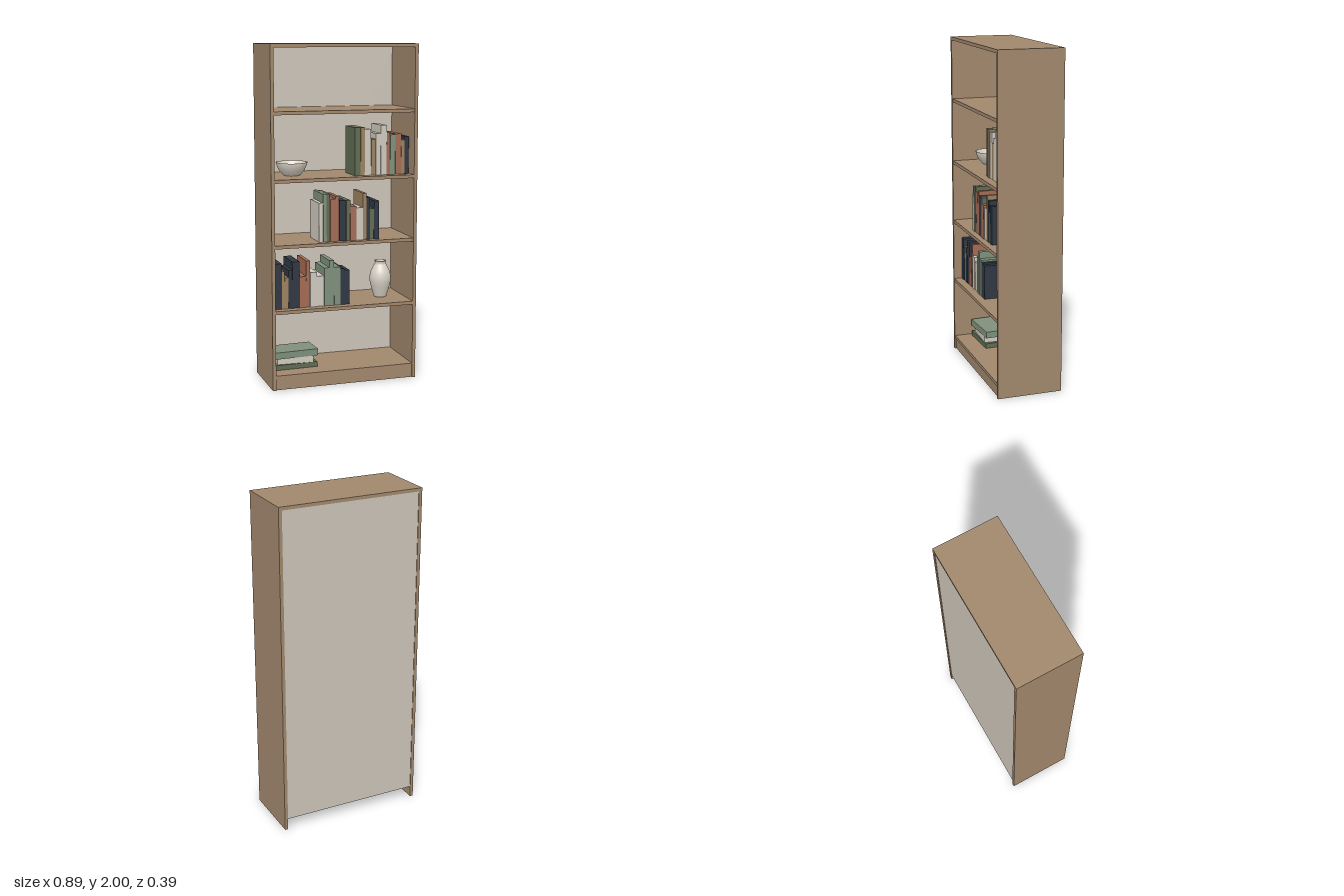
import * as THREE from 'three';

const material = (name, color, side = THREE.FrontSide) => {
  const m = new THREE.MeshStandardMaterial({ color, side });
  m.name = name;
  return m;
};

export function createModel() {
  const wood = material('wood', 0xa1876c);
  const backing = material('backing', 0xccc4b9);
  const ceramic = material('ceramic', 0xd8d2c6, THREE.DoubleSide);
  const bookColors = {
    n: material('navy', 0x303743),
    g: material('dark green', 0x5f6b52),
    s: material('sage', 0x7f907b),
    r: material('rust', 0xa36b54),
    t: material('tan', 0x9c8260),
    c: material('cream', 0xd0cabf),
  };

  const root = new THREE.Group();
  root.name = 'bookcase';

  // Box given by its min and max corners
  const box = (name, mat, [x0, y0, z0], [x1, y1, z1], parent = root) => {
    const mesh = new THREE.Mesh(new THREE.BoxGeometry(x1 - x0, y1 - y0, z1 - z0), mat);
    mesh.position.set((x0 + x1) / 2, (y0 + y1) / 2, (z0 + z1) / 2);
    mesh.name = name;
    parent.add(mesh);
    return mesh;
  };

  // Carcass
  const W = 0.444, D = 0.195, T = 0.02, inner = W - T;
  box('leftSide', wood, [inner, 0, -D], [W, 2, D]);
  box('rightSide', wood, [-W, 0, -D], [-inner, 2, D]);
  box('topPanel', wood, [-inner, 2 - T, -D], [inner, 2, D]);
  box('backPanel', backing, [-inner, 0.068, -D + 0.004], [inner, 2 - T, -D + 0.012]);
  box('kickBoard', wood, [-inner, 0, D - 0.03], [inner, 0.067, D - 0.01]);

  // Shelves, by the height of their top face
  const shelves = [0.087, 0.472, 0.857, 1.236, 1.623];
  shelves.forEach((y, i) =>
    box(`shelf${i + 1}`, wood, [-inner, y - T, -D + 0.012], [inner, y, D - 0.004]));

  // Small seeded generator for the book depths
  let seed = 7;
  const random = () => (seed = (seed * 16807) % 2147483647) / 2147483647;

  // Rows of upright books: colour, width and height of each, from right to left end
  const rows = [
    { shelf: 1, x: -0.414, front: 0.142, books: [
      ['n', 0.042, 0.27], ['t', 0.019, 0.222], ['t', 0.021, 0.185], ['n', 0.023, 0.228],
      ['n', 0.046, 0.276], ['r', 0.039, 0.185], ['r', 0.024, 0.276], ['c', 0.043, 0.206],
      ['c', 0.043, 0.18], ['s', 0.032, 0.228], ['s', 0.029, 0.27], ['s', 0.039, 0.228],
      ['n', 0.025, 0.217], ['n', 0.031, 0.207]] },
    { shelf: 2, x: -0.149, front: 0.155, books: [
      ['c', 0.024, 0.23], ['s', 0.022, 0.282], ['g', 0.022, 0.282], ['r', 0.032, 0.25],
      ['r', 0.024, 0.266], ['n', 0.042, 0.24], ['g', 0.025, 0.24], ['r', 0.037, 0.203],
      ['c', 0.042, 0.192], ['t', 0.021, 0.277], ['n', 0.024, 0.25], ['g', 0.024, 0.182],
      ['n', 0.031, 0.228]] },
    { shelf: 3, x: 0.074, front: 0.14, books: [
      ['g', 0.035, 0.281], ['t', 0.026, 0.281], ['c', 0.041, 0.27], ['t', 0.028, 0.212],
      ['c', 0.031, 0.244], ['c', 0.037, 0.292], ['r', 0.022, 0.25], ['s', 0.032, 0.234],
      ['r', 0.037, 0.239], ['t', 0.021, 0.202], ['n', 0.027, 0.222]] },
  ];
  for (const { shelf, x, front, books } of rows) {
    const row = new THREE.Group();
    row.name = `bookRow${shelf + 1}`;
    root.add(row);
    let left = x;
    books.forEach(([color, width, height], i) => {
      const last = i === books.length - 1;
      const depth = last ? (shelf === 2 ? 0.21 : 0.142) : 0.15 + 0.05 * random();
      const z = front + (last ? 0 : (random() - 0.5) * 0.008);
      const y = shelves[shelf];
      box('book', bookColors[color], [left, y, z - depth], [left + width - 0.001, y + height, z], row);
      left += width;
    });
  }

  // Lying stack of books, each turned a little
  const stack = new THREE.Group();
  stack.name = 'bookStack';
  root.add(stack);
  let y = shelves[0];
  for (const [color, width, height, depth, turn] of [
    ['g', 0.26, 0.03, 0.165, 0.04], ['c', 0.222, 0.038, 0.15, -0.03], ['s', 0.268, 0.04, 0.165, 0.06],
  ]) {
    const book = box('lyingBook', bookColors[color],
      [-0.271 - width / 2, y, -depth / 2], [-0.271 + width / 2, y + height, depth / 2], stack);
    book.rotation.y = turn;
    y += height;
  }

  // Turned ceramics
  const lathe = (name, points, x, base) => {
    const mesh = new THREE.Mesh(
      new THREE.LatheGeometry(points.map(([r, h]) => new THREE.Vector2(r, h)), 40), ceramic);
    mesh.position.set(x, base, 0);
    mesh.name = name;
    root.add(mesh);
  };
  lathe('bowl', [[0, 0], [0.046, 0], [0.056, 0.008], [0.074, 0.03], [0.085, 0.053], [0.093, 0.078],
    [0.088, 0.078], [0.08, 0.054], [0.068, 0.031], [0.048, 0.012], [0, 0.008]], -0.269, shelves[3]);

  const vaseSide = new THREE.SplineCurve([[0.038, 0], [0.05, 0.04], [0.062, 0.085], [0.065, 0.118],
    [0.058, 0.155], [0.042, 0.188], [0.033, 0.204], [0.035, 0.222]]
    .map(([r, h]) => new THREE.Vector2(r, h))).getPoints(28).map((p) => [p.x, p.y]);
  lathe('vase', [[0, 0], ...vaseSide, [0.03, 0.222], [0.028, 0.204], [0.038, 0.186], [0.052, 0.155],
    [0.058, 0.118], [0.045, 0.04], [0, 0.01]], 0.287, shelves[1]);

  return root;
}
